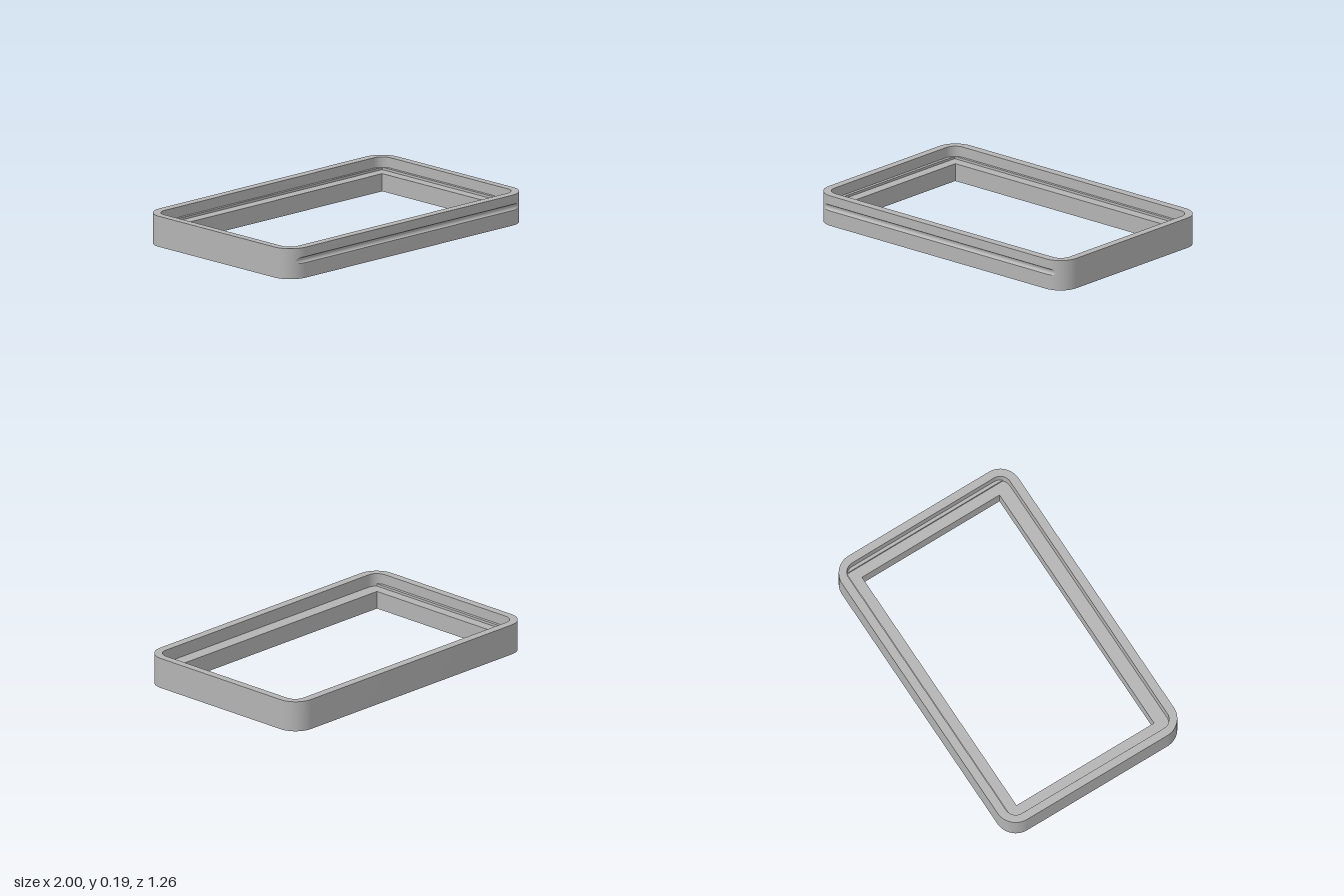
import * as THREE from 'three';
import { toCreasedNormals } from 'three/addons/utils/BufferGeometryUtils.js';

const HEIGHT = 0.19, LEDGE = 0.11, STEP = 0.015;

// Rounded rectangle outline in the ground plane, as Vector2(x, z)
function outline(hx, hz, r, seg = 28) {
  const pts = [];
  [[1, 1], [-1, 1], [-1, -1], [1, -1]].forEach(([sx, sz], q) => {
    if (r === 0) { pts.push(new THREE.Vector2(sx * hx, sz * hz)); return; }
    for (let i = 0; i <= seg; i++) {
      const a = (q + i / seg) * Math.PI / 2;
      pts.push(new THREE.Vector2(sx * (hx - r) + r * Math.cos(a), sz * (hz - r) + r * Math.sin(a)));
    }
  });
  return pts;
}

// Vertical wall through levels [y, frontLimit]; points beyond the limit are cut back to it
function wall(pts, levels, inward = false) {
  const pos = [];
  const at = (p, [y, limit = Infinity]) => [p.x, y, Math.min(p.y, limit)];
  for (let k = 0; k < levels.length - 1; k++) {
    pts.forEach((p, i) => {
      const q = pts[(i + 1) % pts.length];
      const a = at(p, levels[k]), b = at(p, levels[k + 1]);
      const c = at(q, levels[k]), d = at(q, levels[k + 1]);
      pos.push(...(inward ? [a, c, b, b, c, d] : [a, b, c, b, d, c]).flat());
    });
  }
  const g = new THREE.BufferGeometry();
  g.setAttribute('position', new THREE.Float32BufferAttribute(pos, 3));
  return toCreasedNormals(g, 0.4);
}

// Flat ring between two outlines, facing up or down
function plate(outer, inner, y, up = true) {
  const shape = new THREE.Shape(outer);
  shape.holes.push(new THREE.Path(inner));
  return new THREE.ShapeGeometry(shape).rotateX(up ? -Math.PI / 2 : Math.PI / 2).translate(0, y, 0);
}

export function createModel() {
  const group = new THREE.Group();
  const grey = new THREE.MeshStandardMaterial({ color: 0xb3b3b3 });
  grey.name = 'plain grey';
  const add = (name, geometry) => {
    const mesh = new THREE.Mesh(geometry, grey);
    mesh.name = name;
    group.add(mesh);
  };

  const outer = outline(1, 0.629, 0.13);
  const recess = outline(0.95, 0.575, 0.07);
  const opening = outline(0.865, 0.49, 0);

  // Outer wall with a shallow rounded finger groove along the front
  const levels = [[0]];
  for (let i = 0; i <= 10; i++) {
    const a = Math.PI * i / 10;
    levels.push([0.1125 - 0.0185 * Math.cos(a), 0.629 - 0.015 * Math.sin(a)]);
  }
  levels.push([HEIGHT]);
  add('outerWall', wall(outer, levels));

  // Inner walls of the recess and of the opening
  add('recessWall', wall(recess, [[LEDGE], [HEIGHT]], true));
  add('openingWall', wall(opening, [[0], [LEDGE]], true));

  // Horizontal faces
  add('rim', plate(outer, recess, HEIGHT));
  add('ledge', plate(recess, opening, LEDGE));
  add('underside', plate(outer, opening, 0, false));

  // Low step on the back and both sides of the ledge (its outer edge sits inside the wall)
  const u = [[-0.96, -0.56], [-0.93, -0.56], [-0.93, 0.557], [0.93, 0.557],
    [0.93, -0.56], [0.96, -0.56], [0.96, 0.585], [-0.96, 0.585]];
  const step = new THREE.ExtrudeGeometry(
    new THREE.Shape(u.map(([x, y]) => new THREE.Vector2(x, y))),
    { depth: STEP, bevelEnabled: false });
  step.rotateX(-Math.PI / 2).translate(0, LEDGE, 0);
  add('ledgeStep', step);

  return group;
}
